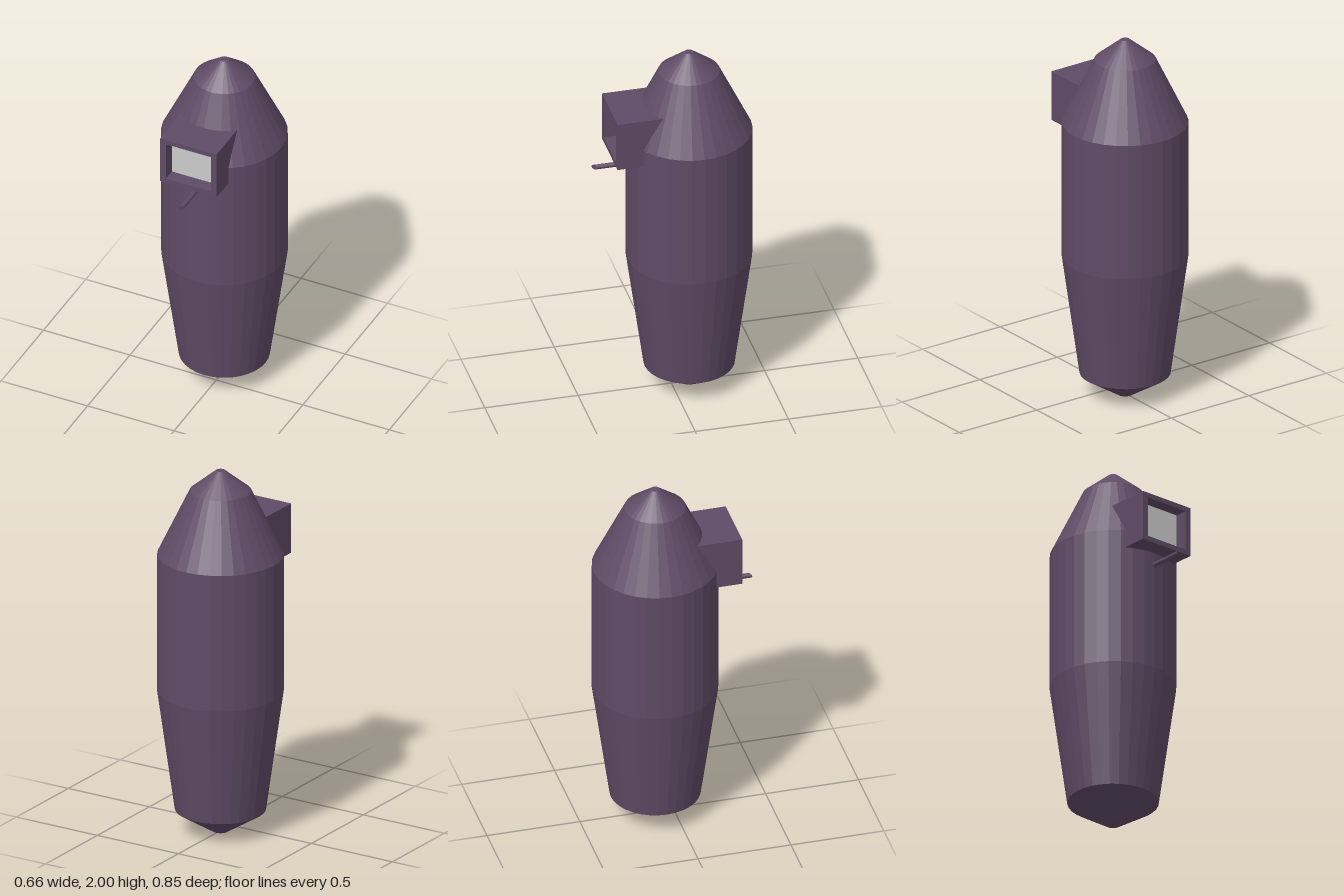
import * as THREE from 'three';

const BODY_Z = -0.095;

export function createModel() {
  const group = new THREE.Group();
  const purple = new THREE.MeshStandardMaterial({ color: 0x5f4b66, flatShading: true });
  const pale = new THREE.MeshStandardMaterial({ color: 0xcccccc });

  const add = (name, geometry, material, x, y, z) => {
    const mesh = new THREE.Mesh(geometry, material);
    mesh.name = name;
    mesh.position.set(x, y, z);
    group.add(mesh);
    return mesh;
  };

  // Faceted, tapered body with blunt cones at both ends
  const profile = [
    [0, 0], [0.04, 0], [0.238, 0.125], [0.33, 0.785],
    [0.33, 1.537], [0.16, 1.89], [0.024, 2], [0, 2],
  ].map(([r, y]) => new THREE.Vector2(r, y));
  add('body', new THREE.LatheGeometry(profile, 32), purple, 0, 0, BODY_Z);

  // Square window hood, sunk into the body at the back
  const rectangle = (path, w, h) => {
    path.moveTo(-w, -h);
    path.lineTo(w, -h);
    path.lineTo(w, h);
    path.lineTo(-w, h);
    path.closePath();
    return path;
  };
  const frame = rectangle(new THREE.Shape(), 0.163, 0.137);
  frame.holes.push(rectangle(new THREE.Path(), 0.13, 0.11));
  const hood = new THREE.ExtrudeGeometry(frame, { depth: 0.28, bevelEnabled: false });
  add('windowHood', hood, purple, 0, 1.578, 0.05);

  // Recessed window pane
  add('windowPane', new THREE.BoxGeometry(0.262, 0.222, 0.01), pale, 0, 1.578, 0.255);

  // Thin peg below the window, its tip cut at a slant
  const peg = new THREE.CylinderGeometry(0.013, 0.013, 0.24, 12);
  peg.rotateX(Math.PI / 2);
  const p = peg.attributes.position;
  for (let i = 0; i < p.count; i++) {
    if (p.getZ(i) > 0) p.setZ(i, p.getZ(i) - 0.012 - p.getX(i) * 0.9);
  }
  add('peg', peg, purple, 0, 1.375, 0.305);

  return group;
}
